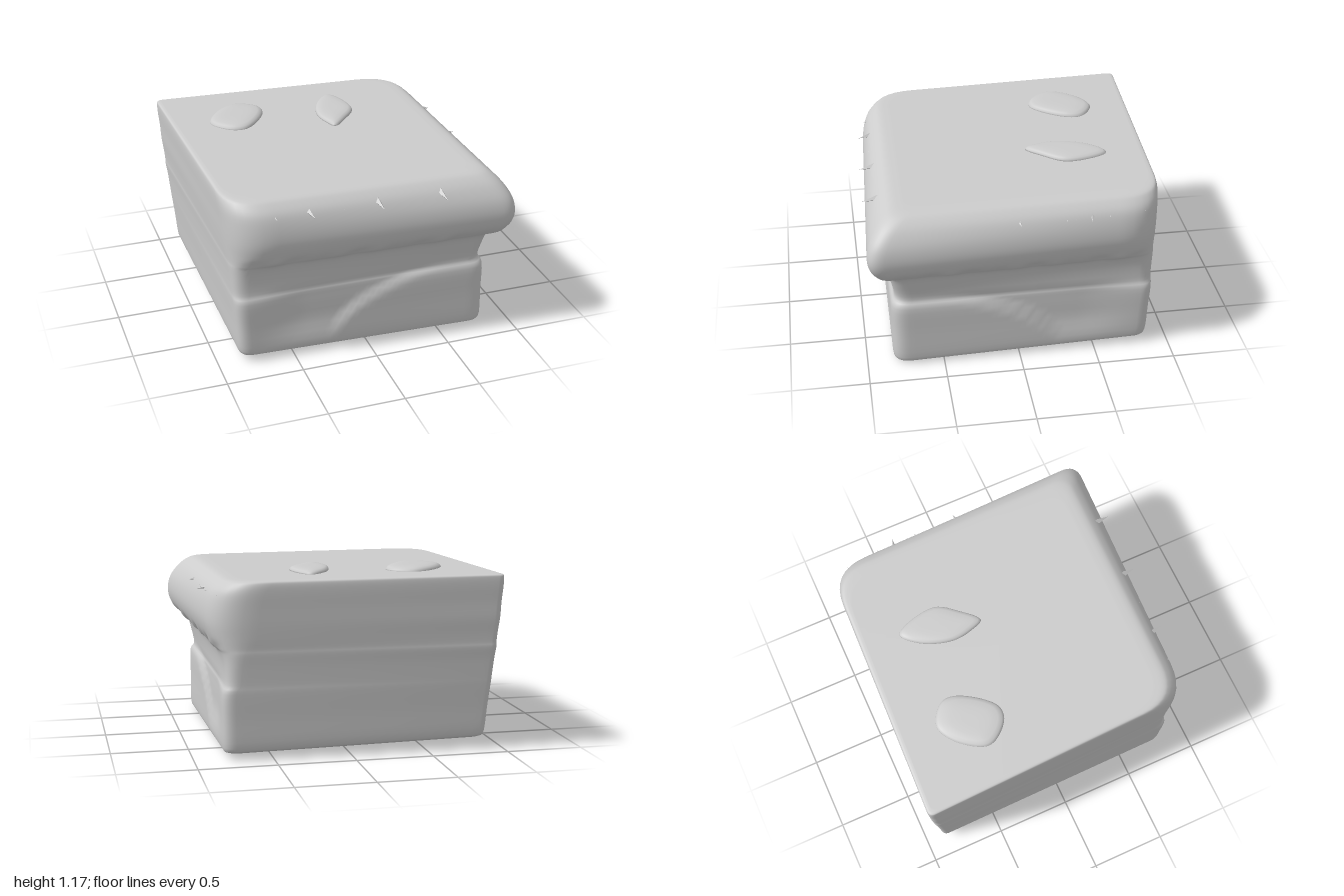
import * as THREE from 'three';

const smooth = THREE.MathUtils.smoothstep;

// Closed skin through rings of equal length (counter-clockwise from above), capped at both ends
function loft(rings) {
  const n = rings[0].length, pos = [], index = [];
  rings.forEach(r => r.forEach(p => pos.push(p.x, p.y, p.z)));
  for (let i = 0; i < rings.length - 1; i++) {
    for (let j = 0; j < n; j++) {
      const k = (j + 1) % n, a = i * n + j, b = i * n + k;
      index.push(a, b, b + n, a, b + n, a + n);
    }
  }
  const cap = (ring, start, up) => {
    const c = ring.reduce((s, p) => s.add(p), new THREE.Vector3()).divideScalar(n);
    const ci = pos.length / 3;
    pos.push(c.x, c.y, c.z);
    for (let j = 0; j < n; j++) {
      const a = start + j, b = start + (j + 1) % n;
      if (up) index.push(a, b, ci); else index.push(b, a, ci);
    }
  };
  cap(rings[0], 0, false);
  cap(rings[rings.length - 1], (rings.length - 1) * n, true);
  const g = new THREE.BufferGeometry();
  g.setAttribute('position', new THREE.Float32BufferAttribute(pos, 3));
  g.setIndex(index);
  g.computeVertexNormals();
  return g;
}

// Body profile, symmetric about the x = z diagonal:
// height, back-left corner, left/back at the far ends, right/front at the far ends, front-right corner, corner radius
const PROFILE = [
  [0.0, -0.83, -0.79, 0.75, 0.78, 0.06],
  [0.012, -0.86, -0.83, 0.79, 0.81, 0.07],
  [0.05, -0.885, -0.86, 0.815, 0.83, 0.08],
  [0.25, -0.90, -0.87, 0.82, 0.83, 0.08],
  [0.43, -0.915, -0.88, 0.82, 0.83, 0.08],
  [0.49, -0.92, -0.88, 0.80, 0.805, 0.09],
  [0.60, -0.93, -0.885, 0.80, 0.825, 0.1],
  [0.68, -0.94, -0.89, 0.815, 0.85, 0.13],
  [0.715, -0.94, -0.89, 0.84, 0.90, 0.17],
  [0.78, -0.945, -0.895, 0.87, 0.955, 0.22],
  [0.87, -0.955, -0.90, 0.89, 0.975, 0.25],
  [0.97, -0.96, -0.905, 0.885, 0.955, 0.26],
  [1.06, -0.968, -0.91, 0.86, 0.90, 0.26],
  [1.115, -0.97, -0.91, 0.81, 0.84, 0.25],
  [1.135, -0.965, -0.90, 0.77, 0.79, 0.24],
  [1.14, -0.94, -0.87, 0.70, 0.72, 0.22],
];

// Rounded four-sided outline with evenly divided edges
function outline(c, w, e, f, r) {
  const V = (x, z) => new THREE.Vector2(x, z);
  const corners = [V(c, c), V(w, e), V(f, f), V(e, w)];
  const radii = [0.045, r, 0.11, r];
  const cut = (i, j) => corners[i].clone().lerp(corners[j], radii[i] / corners[i].distanceTo(corners[j]));
  const pts = [];
  for (let i = 0; i < 4; i++) {
    const next = (i + 1) % 4;
    const out = cut(i, next);
    pts.push(...new THREE.QuadraticBezierCurve(cut(i, (i + 3) % 4), corners[i], out).getPoints(8));
    const end = cut(next, i);
    for (let k = 1; k < 40; k++) pts.push(out.clone().lerp(end, k / 40));
  }
  return pts;
}

// Shallow recess above an arched step on the two iced sides, plus a lumpy icing lip
function sideOffset(t, y) {
  const q = (0.8 - t) / 1.05;
  const arch = 0.48 * Math.sqrt(Math.max(0, 1 - q * q));
  const recess = smooth(y - arch, 0, 0.07) * smooth(y, 0.06, 0.25) * (1 - smooth(y, 0.42, 0.52)) * smooth(t, -0.85, -0.4);
  const lip = Math.exp(-Math.pow((y - 0.725) / 0.03, 2)) * (Math.sin(t * 17) + Math.sin(t * 29 + 1));
  return -0.025 * recess + 0.006 * lip;
}

function bodyGeometry() {
  const lower = new THREE.CatmullRomCurve3(PROFILE.map(p => new THREE.Vector3(p[0], p[1], p[2])), false, 'catmullrom', 0.5);
  const upper = new THREE.CatmullRomCurve3(PROFILE.map(p => new THREE.Vector3(p[3], p[4], p[5])), false, 'catmullrom', 0.5);
  const steps = (PROFILE.length - 1) * 4, rings = [];
  for (let i = 0; i <= steps; i++) {
    const a = lower.getPoint(i / steps), b = upper.getPoint(i / steps), y = a.x;
    rings.push(outline(a.y, a.z, b.x, b.y, b.z).map(p => {
      const front = smooth(p.y, 0.68, 0.76), right = smooth(p.x, 0.68, 0.76);
      const z = p.y + front * sideOffset(p.x, y);
      const x = p.x + right * sideOffset(p.y, y);
      // the underside tilts down toward the front-right corner
      const tilt = (0.036 - 0.021 * (p.x + p.y)) * Math.max(0, 1 - y / 0.45);
      const lift = -0.006 * (p.x + p.y) * smooth(y, 0.9, 1.14);
      return new THREE.Vector3(x, y + tilt + lift, z);
    }));
  }
  return loft(rings);
}

// Low rounded topping with a flattened crown
function toppingGeometry(points, height) {
  const curve = new THREE.CatmullRomCurve3(points.map(([x, z]) => new THREE.Vector3(x, 0, z)), true);
  const edge = curve.getPoints(48).slice(0, 48);
  const c = edge.reduce((s, p) => s.add(p), new THREE.Vector3()).divideScalar(48);
  const layers = [[1, 0], [0.98, 0.4], [0.92, 0.7], [0.8, 0.9], [0.55, 1], [0.25, 1.02]];
  return loft(layers.map(([s, h]) => edge.map(p =>
    new THREE.Vector3(c.x + (p.x - c.x) * s, 1.135 + h * height, c.z + (p.z - c.z) * s))));
}

export function createModel() {
  const group = new THREE.Group();
  const grey = new THREE.MeshStandardMaterial({ color: 0xcccccc });
  grey.name = 'plain grey';
  const add = (name, geometry) => {
    const mesh = new THREE.Mesh(geometry, grey);
    mesh.name = name;
    group.add(mesh);
    return mesh;
  };

  // Cake block with overhanging icing
  add('cakeBody', bodyGeometry());

  // Two toppings
  add('roundTopping', toppingGeometry([
    [-0.58, -0.28], [-0.48, -0.28], [-0.31, -0.5], [-0.31, -0.61],
    [-0.45, -0.70], [-0.58, -0.64], [-0.70, -0.47], [-0.69, -0.39]], 0.043));
  add('leafTopping', toppingGeometry([
    [0.06, -0.22], [0.10, -0.14], [0.21, -0.24], [0.31, -0.39],
    [0.25, -0.65], [0.21, -0.67], [0.10, -0.55], [0.04, -0.36]], 0.035));

  // Ragged icing crumbs along the two iced edges: position, tip reach, sideways lean
  const crumb = (t, reach, lean, onRight) => {
    const g = new THREE.ConeGeometry(0.03, 0.14, 4).toNonIndexed();
    g.computeVertexNormals();
    const depth = 0.88 + 0.02 * t;
    const at = new THREE.Vector3(t, 1.055, depth + reach - 0.07);
    const dir = new THREE.Vector3(lean, -0.15, 1);
    if (onRight) [at, dir].forEach(v => v.set(v.z, v.y, v.x));
    const mesh = add('icingCrumb', g);
    mesh.position.copy(at);
    mesh.quaternion.setFromUnitVectors(new THREE.Vector3(0, 1, 0), dir.normalize());
  };
  [[-0.72, -0.01, -0.3], [-0.63, 0.03, 0.1], [-0.41, 0.07, 0.2], [-0.16, 0.02, -0.5],
    [0.04, 0.08, 0.1], [0.46, 0.08, 0.1]].forEach(c => crumb(...c, false));
  [[-0.77, -0.01, -0.3], [-0.54, 0.02, -0.3], [-0.45, 0.05, 0.2], [-0.36, 0.02, 0.3],
    [-0.27, 0.02, -0.2], [0.02, 0.04, -0.2]].forEach(c => crumb(...c, true));

  return group;
}
